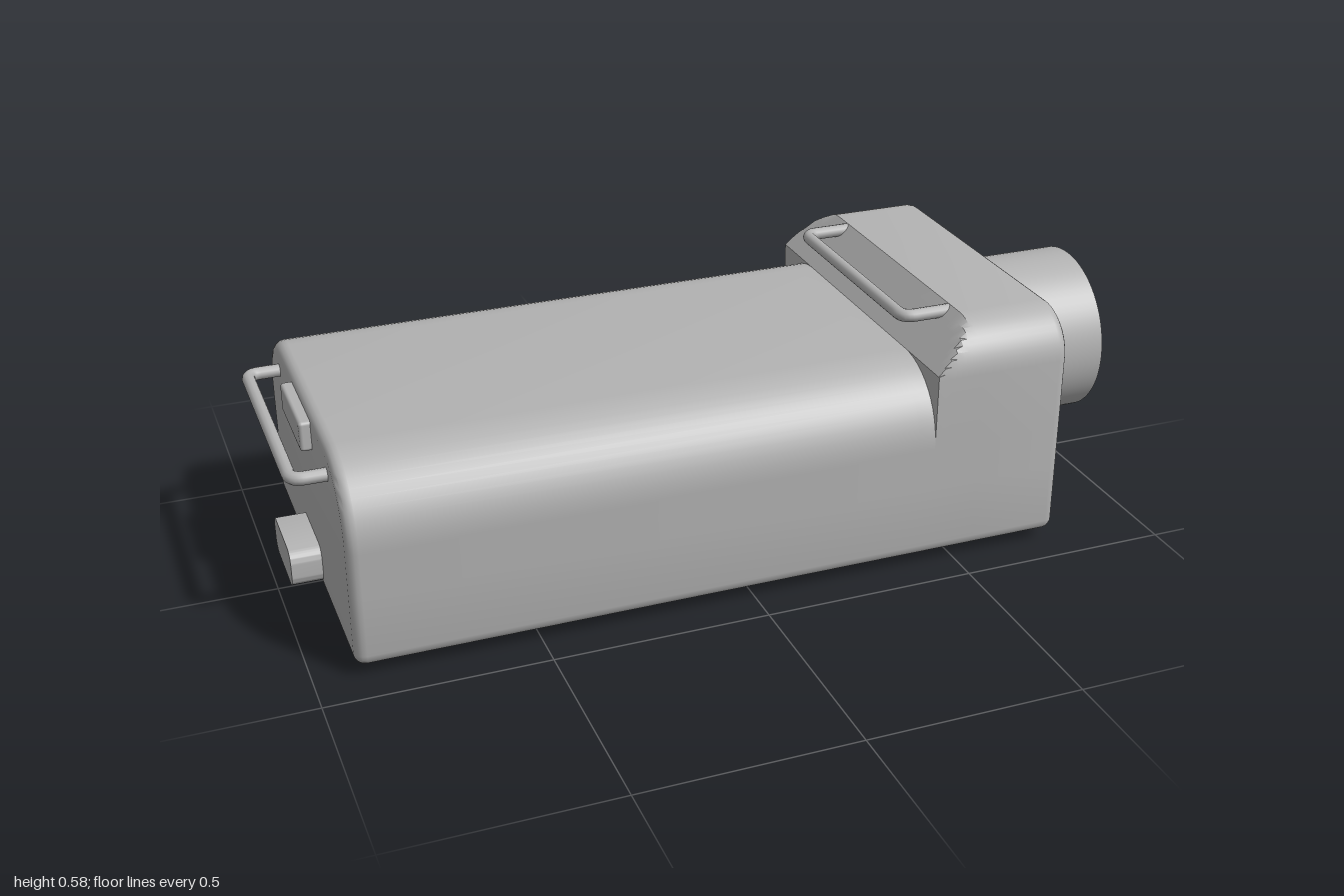
import * as THREE from 'three';
import { toCreasedNormals } from 'three/addons/utils/BufferGeometryUtils.js';
import { RoundedBoxGeometry } from 'three/addons/geometries/RoundedBoxGeometry.js';

const HW = 0.43, BOTTOM = 0.025;          // body half width and underside height
const PORT = { x0: 0.39, x1: 0.54, y0: 0.2, y1: 0.3, depth: 0.09 };

// Body cross-section as [z, y] points: small bottom corners, large top corners
function section(top, radius, inset, maxY = Infinity) {
  const pts = [];
  const w = HW - inset, t = top - inset, b = BOTTOM + inset;
  const arc = (cz, cy, r, from, steps) => {
    for (let i = 0; i <= steps; i++) {
      const a = from + (i / steps) * Math.PI / 2;
      pts.push([cz + r * Math.cos(a), Math.min(cy + r * Math.sin(a), maxY)]);
    }
  };
  const r = radius - inset, rb = 0.03 - inset;
  arc(w - rb, b + rb, rb, -Math.PI / 2, 4);
  pts.push([w, PORT.y0], [w, PORT.y1]);
  arc(w - r, t - r, r, 0, 12);
  arc(-w + r, t - r, r, Math.PI / 2, 12);
  pts.push([-w, PORT.y1], [-w, PORT.y0]);
  arc(-w + rb, b + rb, rb, Math.PI, 4);
  return pts;
}

// Loft through the cross-sections, leaving the port opening free
function bodyGeometry() {
  const low = (x, d = 0) => ({ x, pts: section(0.48, 0.17, d) });
  const high = (x, d = 0, maxY) => ({ x, pts: section(0.58, 0.11, d, maxY) });
  const f = 0.025, steps = 4, rings = [];
  for (let k = 0; k <= steps; k++) {
    const a = (k / steps) * Math.PI / 2;
    rings.push(low(-0.91 + f * (1 - Math.cos(a)), f * (1 - Math.sin(a))));
  }
  rings.push(low(PORT.x0), low(0.43));
  for (let k = 0; k <= 6; k++) {           // sloped shoulder
    const s = k / 6 * 0.1;
    rings.push(high(0.43 + s, 0, 0.48 + s));
  }
  rings.push(high(PORT.x1));
  for (let k = steps; k >= 0; k--) {
    const a = (k / steps) * Math.PI / 2;
    rings.push(high(0.76 - f * (1 - Math.cos(a)), f * (1 - Math.sin(a))));
  }

  const pos = [];
  const put = (ring, p) => pos.push(ring.x, p[1], p[0]);
  const n = rings[0].pts.length, eps = 1e-6;
  for (let j = 0; j < rings.length - 1; j++) {
    const A = rings[j], B = rings[j + 1];
    for (let i = 0; i < n; i++) {
      const m = (i + 1) % n, p = A.pts[i], q = A.pts[m];
      const open = p[0] < 0 && Math.abs(p[1] - PORT.y1) < eps && Math.abs(q[1] - PORT.y0) < eps
        && A.x > PORT.x0 - eps && B.x < PORT.x1 + eps;
      if (open) continue;
      put(A, p); put(B, B.pts[i]); put(A, q);
      put(B, B.pts[i]); put(B, B.pts[m]); put(A, q);
    }
  }
  const first = rings[0], last = rings[rings.length - 1], mid = [0, 0.25];
  for (let i = 0; i < n; i++) {
    const m = (i + 1) % n;
    put(first, mid); put(first, first.pts[i]); put(first, first.pts[m]);
    put(last, mid); put(last, last.pts[m]); put(last, last.pts[i]);
  }
  const g = new THREE.BufferGeometry();
  g.setAttribute('position', new THREE.Float32BufferAttribute(pos, 3));
  return toCreasedNormals(g, 0.5);
}

// U-shaped rod handle with tight rounded bends
function handleGeometry(xRoot, xOut, y) {
  const z = 0.272, r = 0.03, s = Math.sign(xRoot - xOut);
  const v = (x, zz) => new THREE.Vector3(x, y, zz);
  const path = new THREE.CurvePath();
  path.add(new THREE.LineCurve3(v(xRoot, -z), v(xOut + s * r, -z)));
  path.add(new THREE.QuadraticBezierCurve3(v(xOut + s * r, -z), v(xOut, -z), v(xOut, -z + r)));
  path.add(new THREE.LineCurve3(v(xOut, -z + r), v(xOut, z - r)));
  path.add(new THREE.QuadraticBezierCurve3(v(xOut, z - r), v(xOut, z), v(xOut + s * r, z)));
  path.add(new THREE.LineCurve3(v(xOut + s * r, z), v(xRoot, z)));
  return new THREE.TubeGeometry(path, 120, 0.015, 12);
}

export function createModel() {
  const model = new THREE.Group();
  const grey = new THREE.MeshStandardMaterial({ color: 0xb3b3b3 });
  grey.name = 'grey';
  const add = (name, geometry, x = 0, y = 0, z = 0) => {
    const mesh = new THREE.Mesh(geometry, grey);
    mesh.name = name;
    mesh.position.set(x, y, z);
    model.add(mesh);
    return mesh;
  };
  // Box given by its limits on each axis
  const box = (name, x0, x1, y0, y1, z0, z1) =>
    add(name, new THREE.BoxGeometry(x1 - x0, y1 - y0, z1 - z0), (x0 + x1) / 2, (y0 + y1) / 2, (z0 + z1) / 2);

  add('body', bodyGeometry());

  // Round barrel on the end
  const barrel = new THREE.CylinderGeometry(0.2, 0.2, 0.26, 72);
  barrel.rotateZ(-Math.PI / 2);
  add('barrel', barrel, 0.87, 0.34, 0);

  // Side port: inward-facing box without its outer wall, and a connector tongue
  const w = PORT.x1 - PORT.x0, h = PORT.y1 - PORT.y0;
  const recess = new THREE.BoxGeometry(w, h, PORT.depth);
  const index = Array.from(recess.index.array).slice(0, 30);
  for (let i = 0; i < index.length; i += 3) [index[i], index[i + 1]] = [index[i + 1], index[i]];
  recess.setIndex(index);
  const nrm = recess.attributes.normal;
  for (let i = 0; i < nrm.count; i++) nrm.setXYZ(i, -nrm.getX(i), -nrm.getY(i), -nrm.getZ(i));
  add('portRecess', recess, (PORT.x0 + PORT.x1) / 2, (PORT.y0 + PORT.y1) / 2, -HW + PORT.depth / 2);
  box('portTongue', 0.415, 0.515, 0.245, 0.265, -HW + 0.03, -HW + PORT.depth);

  // Carry handles
  add('shoulderHandle', handleGeometry(0.56, 0.415, 0.565));
  add('endHandle', handleGeometry(-0.88, -0.985, 0.415));

  // Button and plug on the end wall
  add('endButton', new RoundedBoxGeometry(0.055, 0.07, 0.22, 3, 0.008), -0.9075, 0.425, 0);
  const r = 0.03, a = 0.1, b = 0.045, plug = new THREE.Shape();
  plug.absarc(a - r, b - r, r, 0, Math.PI / 2);
  plug.absarc(-a + r, b - r, r, Math.PI / 2, Math.PI);
  plug.absarc(-a + r, -b + r, r, Math.PI, Math.PI * 1.5);
  plug.absarc(a - r, -b + r, r, Math.PI * 1.5, Math.PI * 2);
  const plugGeometry = new THREE.ExtrudeGeometry(plug, { depth: 0.1, bevelEnabled: false, curveSegments: 8 });
  plugGeometry.rotateY(-Math.PI / 2);
  add('endPlug', toCreasedNormals(plugGeometry, 0.5), -0.88, 0.095, 0);

  // Underside feet, pins and pad
  const peg = (name, x, z, radius) =>
    add(name, new THREE.CylinderGeometry(radius, radius, 0.04, 24), x, 0.02, z);
  for (const z of [-0.31, 0.31]) peg('foot', -0.813, z, 0.027);
  for (const x of [-0.81, -0.705]) peg('pin', x, -0.192, 0.014);
  box('squarePad', 0.56, 0.64, 0.012, 0.035, 0.255, 0.355);

  // Underside rails with a crossbar and two outward wedges
  for (const z of [-0.145, 0.145]) box('rail', -0.1, 0.37, 0.012, 0.035, z - 0.008, z + 0.008);
  box('crossbar', 0.127, 0.143, 0.012, 0.035, -0.14, 0.14);
  for (const s of [-1, 1]) {
    const wedge = new THREE.Shape([
      new THREE.Vector2(s * 0.065, -0.065),
      new THREE.Vector2(s * 0.175, 0),
      new THREE.Vector2(s * 0.065, 0.065),
    ]);
    const g = new THREE.ExtrudeGeometry(wedge, { depth: 0.03, bevelEnabled: false });
    g.rotateX(-Math.PI / 2);
    add('wedge', g, 0.135, 0.005, 0);
  }
  return model;
}
